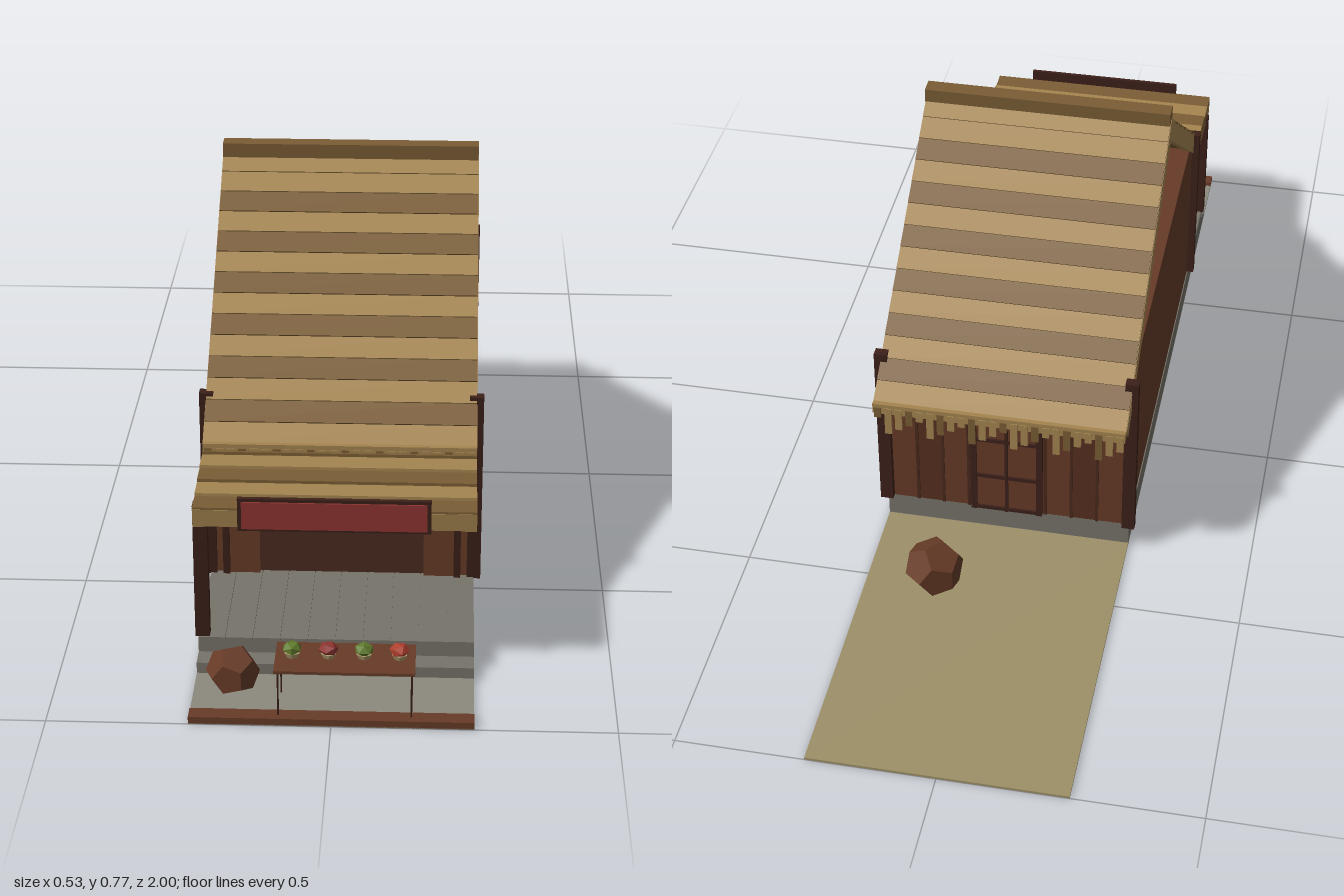
import * as THREE from 'three';

const C = {
  straw: 0xa58550, strawDark: 0x7a5d35, wood: 0x673b27, plank: 0x57301f, dark: 0x4a2a1e, post: 0x3c2019,
  stone: 0x77746a, paving: 0x8c897e, sand: 0x9e9068, red: 0x8f3531, green: 0x5f7a2c, tomato: 0xb0402f, cream: 0xb09a6c,
};
const mats = {};
const mat = (color) => (mats[color] ??= new THREE.MeshStandardMaterial({ color, flatShading: true }));

function add(parent, name, geometry, color, x, y, z) {
  const mesh = new THREE.Mesh(geometry, mat(color));
  mesh.name = name;
  mesh.position.set(x, y, z);
  parent.add(mesh);
  return mesh;
}

// Box given by its extents on each axis
function box(parent, name, x0, x1, y0, y1, z0, z1, color) {
  return add(parent, name, new THREE.BoxGeometry(x1 - x0, y1 - y0, z1 - z0), color,
    (x0 + x1) / 2, (y0 + y1) / 2, (z0 + z1) / 2);
}

function subgroup(parent, name) {
  const g = new THREE.Group();
  g.name = name;
  parent.add(g);
  return g;
}

// One thatched slope running down from the ridge, with a ragged fringe at the eave
function roofSlope(parent, name) {
  const side = subgroup(parent, name);
  const pitch = Math.atan(0.74), length = 0.645, count = 14, step = length / count;
  const slope = subgroup(side, 'slope');
  slope.rotation.x = pitch;
  box(slope, 'roofSlab', -0.25, 0.25, -0.038, -0.006, 0, length, C.strawDark);
  for (let i = 0; i < count; i++) {
    const color = i === 0 || i % 2 === 1 ? C.straw : C.strawDark;
    const course = box(slope, 'thatchCourse', -0.25, 0.25, -0.008, 0.001, i * step, (i + 1) * step + 0.004, color);
    course.rotation.x = -0.06;
  }
  for (const s of [-1, 1]) {
    box(slope, 'bargeBoard', s * 0.244 - 0.007, s * 0.244 + 0.007, -0.042, -0.004, 0, length, C.straw);
  }
  box(side, 'eaveBoard', -0.25, 0.25, -0.405, -0.382, 0.505, 0.53, C.straw);
  for (let i = 0; i < 24; i++) {
    const x = -0.24 + i * 0.0209, drop = 0.022 + 0.013 * ((i * 7) % 4);
    box(side, 'fringe', x - 0.007, x + 0.007, -0.392 - drop, -0.39, 0.526, 0.532, i % 3 ? C.straw : C.strawDark);
  }
  return side;
}

// Faceted storage jar
function jar(parent, name, r, x, y, z, turn) {
  const m = add(parent, name, new THREE.DodecahedronGeometry(r), C.wood, x, y, z);
  m.rotation.y = turn;
}

export function createModel() {
  const model = new THREE.Group();
  model.name = 'shopHouse';

  // Ground, foundation, porch deck and step
  box(model, 'sandYard', -0.25, 0.25, 0, 0.005, -1, -0.32, C.sand);
  box(model, 'paving', -0.25, 0.25, 0, 0.006, -0.32, 1, C.paving);
  box(model, 'kerb', -0.25, 0.25, 0, 0.014, 0.97, 1, C.wood);
  box(model, 'foundation', -0.25, 0.25, 0.001, 0.056, -0.32, 0.8, C.stone);
  box(model, 'step', -0.25, 0.25, 0.001, 0.027, 0.8, 0.84, C.stone);
  for (let i = 0; i < 10; i++) {
    const x = -0.25 + i * 0.05;
    box(model, 'deckBoard', x + 0.001, x + 0.049, 0.055, 0.06, 0.55, 0.805, C.stone);
  }

  // House body and corner posts
  box(model, 'houseBody', -0.248, 0.248, 0.056, 0.432, -0.318, 0.55, C.wood);
  for (const x of [-0.25, 0.25]) {
    for (const z of [0.555, -0.325]) {
      box(model, 'cornerPost', x - 0.013, x + 0.013, 0.058, 0.435, z - 0.01, z + 0.01, C.post);
    }
  }

  // Shop front: dark opening, folded doors and frame posts
  const shop = subgroup(model, 'shopFront');
  box(shop, 'shopOpening', -0.24, 0.24, 0.06, 0.4, 0.545, 0.553, C.dark);
  for (const s of [-1, 1]) {
    const part = (name, a, b, y0, y1, z1, color) =>
      box(shop, name, Math.min(s * a, s * b), Math.max(s * a, s * b), y0, y1, 0.55, z1, color);
    part('foldedDoor', 0.155, 0.212, 0.06, 0.345, 0.562, C.wood);
    part('doorRail', 0.165, 0.212, 0.204, 0.207, 0.564, C.post);
    part('framePost', 0.212, 0.225, 0.06, 0.4, 0.568, C.post);
    part('sidePlank', 0.225, 0.238, 0.06, 0.4, 0.557, C.wood);
  }

  // Back wall: boards, battens and a lattice door
  const back = subgroup(model, 'backWall');
  for (let i = 0; i < 9; i++) {
    const x = -0.237 + i * 0.0527;
    box(back, 'wallBoard', x + 0.001, x + 0.0517, 0.06, 0.42, -0.324, -0.316, i % 2 ? C.plank : C.wood);
    if (i) box(back, 'batten', x - 0.003, x + 0.003, 0.06, 0.42, -0.327, -0.316, C.dark);
  }
  box(back, 'backDoor', -0.065, 0.065, 0.06, 0.34, -0.329, -0.316, C.wood);
  for (const x of [-0.067, 0, 0.067]) {
    const w = x ? 0.006 : 0.003;
    box(back, 'doorStile', x - w, x + w, 0.06, 0.345, -0.334, -0.316, C.post);
  }
  for (const y of [0.065, 0.15, 0.245, 0.34]) {
    box(back, 'doorRail', -0.07, 0.07, y - 0.004, y + 0.004, -0.333, -0.316, C.post);
  }

  // Gable roof, open at both ends
  const roof = subgroup(model, 'roof');
  roof.position.set(0, 0.755, 0.12);
  roofSlope(roof, 'frontSlope');
  roofSlope(roof, 'backSlope').rotation.y = Math.PI;
  box(roof, 'ridgeBeam', -0.25, 0.25, -0.008, 0.02, -0.017, 0.017, C.strawDark);

  // Porch awning with overlapping boards and its post
  const awning = subgroup(model, 'awning');
  awning.position.set(0, 0.363, 0.56);
  awning.rotation.x = 0.085;
  box(awning, 'awningSlab', -0.25, 0.25, -0.026, -0.008, 0, 0.285, C.strawDark);
  for (let i = 0; i < 6; i++) {
    const z = i * 0.0475;
    const board = box(awning, 'awningBoard', -0.25, 0.25, -0.008, 0.003, z, z + 0.05, i % 2 ? C.strawDark : C.straw);
    board.rotation.x = -0.12;
  }
  for (const x of [-0.24, 0.24]) box(awning, 'awningRafter', x - 0.01, x + 0.01, -0.034, -0.006, 0, 0.287, C.straw);
  box(awning, 'awningLip', -0.25, 0.25, -0.032, 0.002, 0.277, 0.288, C.straw);
  box(model, 'porchPost', -0.255, -0.229, 0.06, 0.325, 0.782, 0.802, C.post);

  // Framed signboard
  const sign = subgroup(model, 'signboard');
  box(sign, 'signFrame', -0.17, 0.17, 0.304, 0.367, 0.845, 0.853, C.post);
  box(sign, 'signPanel', -0.163, 0.163, 0.309, 0.361, 0.85, 0.856, C.red);

  // Table with produce
  const table = subgroup(model, 'table');
  box(table, 'tableTop', -0.1, 0.146, 0.1, 0.105, 0.892, 0.992, C.wood);
  for (const x of [-0.093, 0.14]) {
    for (const z of [0.9, 0.985]) box(table, 'tableLeg', x - 0.0015, x + 0.0015, 0.005, 0.101, z - 0.0015, z + 0.0015, C.post);
  }
  [-0.07, -0.006, 0.056, 0.118].forEach((x, i) => {
    add(table, 'produceTray', new THREE.CylinderGeometry(0.015, 0.01, 0.01, 6), C.cream, x, 0.111, 0.942);
    const heap = add(table, 'produce', new THREE.IcosahedronGeometry(0.018), [C.green, C.red, C.green, C.tomato][i], x, 0.123, 0.942);
    heap.scale.y = 0.7;
    heap.rotation.y = i * 0.8;
  });

  // Jars
  jar(model, 'frontJar', 0.048, -0.178, 0.055, 0.907, 0.4);
  jar(model, 'backJar', 0.06, 0.11, 0.06, -0.515, 0.9);

  return model;
}
